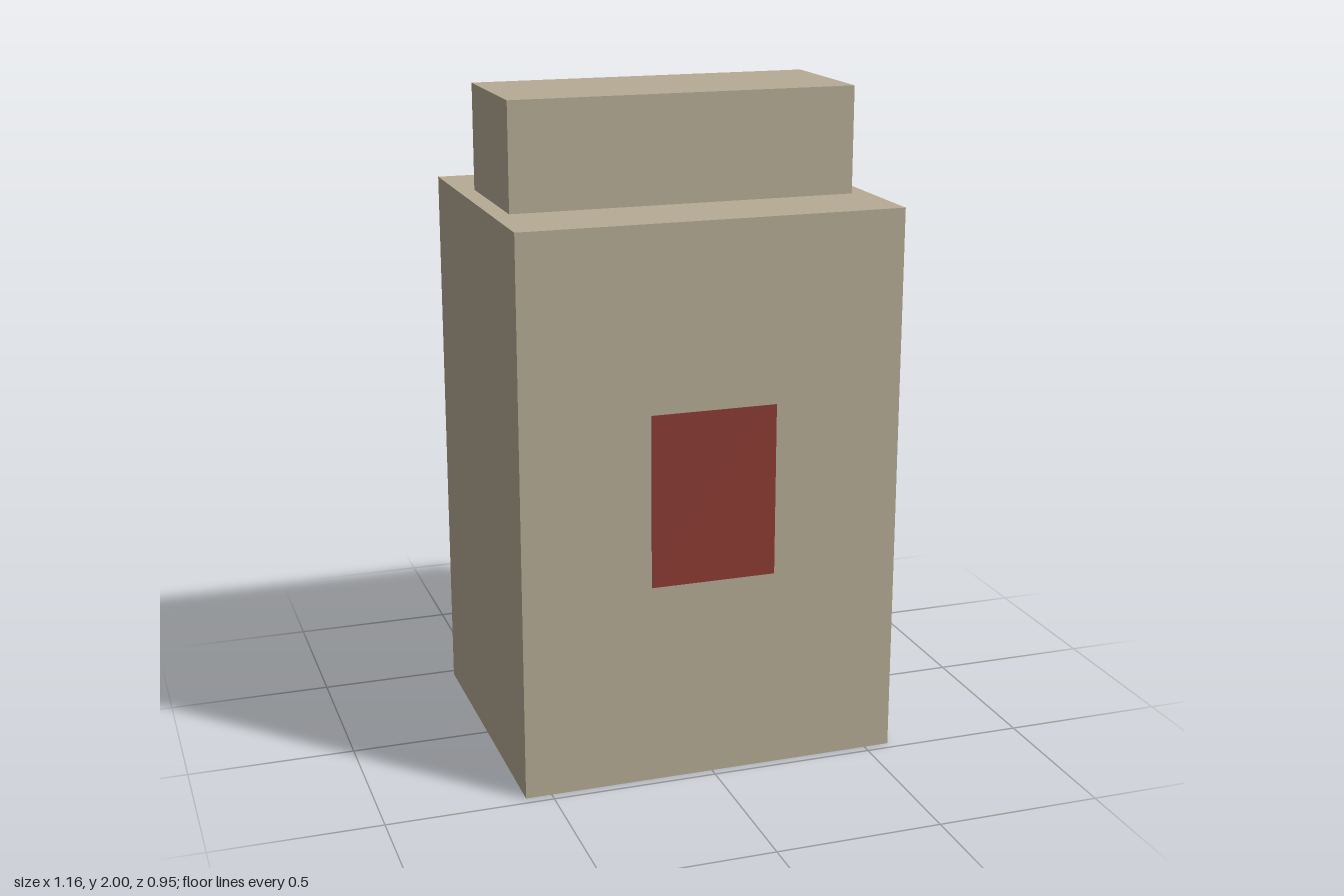
import * as THREE from 'three';

export function createModel() {
  const model = new THREE.Group();
  const casing = new THREE.MeshStandardMaterial({ color: 0xb5ab94 });
  const red = new THREE.MeshStandardMaterial({ color: 0x8b3a32 });

  // Box standing on height y, centred on x and at depth z
  const addBox = (name, material, [w, h, d], y, z = 0) => {
    const mesh = new THREE.Mesh(new THREE.BoxGeometry(w, h, d), material);
    mesh.name = name;
    mesh.position.set(0, y + h / 2, z);
    model.add(mesh);
  };

  const body = { width: 1.156, height: 1.68, depth: 0.944 };
  addBox('body', casing, [body.width, body.height, body.depth], 0);
  addBox('topBlock', casing, [1.05, 2 - body.height, 0.42], body.height);

  // Thin red panel lying on the front face
  addBox('frontPanel', red, [0.38, 0.52, 0.004], 0.61, body.depth / 2);

  return model;
}
